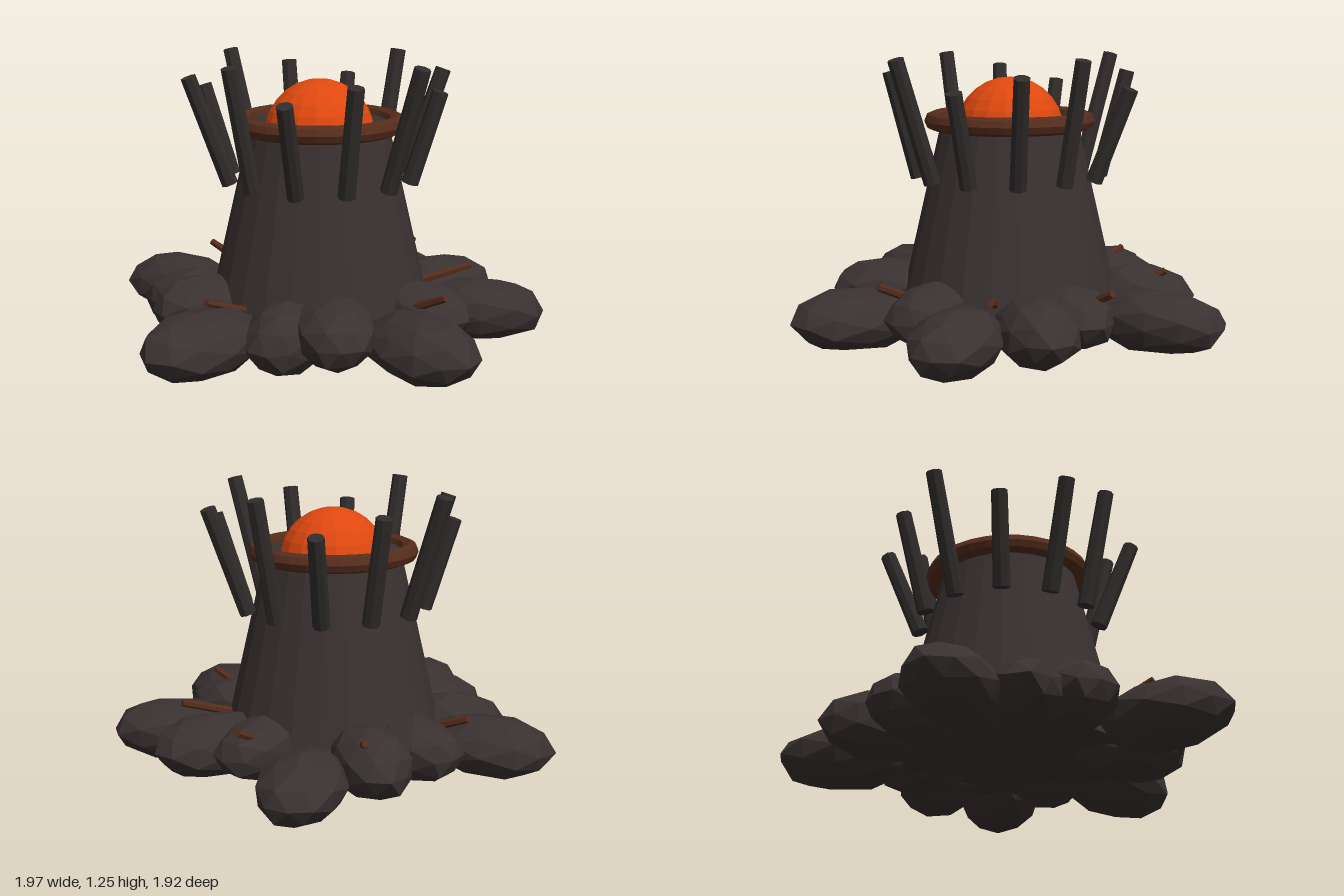
import * as THREE from 'three';

const CZ = 0.04; // the tower's axis sits slightly forward

const paint = (name, color, flatShading = true) => {
  const m = new THREE.MeshStandardMaterial({ color, flatShading });
  m.name = name;
  return m;
};

export function createModel() {
  const group = new THREE.Group();
  const rock = paint('dark rock', 0x3a3131);
  const char = paint('charred wood', 0x312c2c);
  const rust = paint('rust brown', 0x552c1c);
  const ember = paint('ember orange', 0xdf480f);

  const add = (name, geometry, material, x = 0, y = 0, z = 0) => {
    const mesh = new THREE.Mesh(geometry, material);
    mesh.name = name;
    mesh.position.set(x, y, z);
    group.add(mesh);
    return mesh;
  };

  // A round bar between two points
  const up = new THREE.Vector3(0, 1, 0);
  const bar = (name, a, b, rTop, rBottom, sides, material) => {
    const dir = b.clone().sub(a);
    const mid = a.clone().add(b).multiplyScalar(0.5);
    const mesh = add(name, new THREE.CylinderGeometry(rTop, rBottom, dir.length(), sides), material, mid.x, mid.y, mid.z);
    mesh.quaternion.setFromUnitVectors(up, dir.normalize());
  };

  // Tapered tower, rim and glowing dome
  add('tower', new THREE.CylinderGeometry(0.298, 0.5, 0.87, 24), rock, 0, 0.535, CZ);
  const rim = add('rim', new THREE.TorusGeometry(0.335, 0.04, 8, 32), rust, 0, 0.965, CZ);
  rim.rotation.x = Math.PI / 2;
  add('glowingDome', new THREE.SphereGeometry(0.24, 18, 14), ember, 0, 0.915, CZ);

  // Ring of twelve posts leaning outward, in three repeating heights
  const leans = [0.16, 0.12, 0.17, 0.125, 0.17, 0.12];
  const tops = [1.115, 1.18, 1.243];
  for (let i = 0; i < 12; i++) {
    const a = (i * Math.PI) / 6;
    const at = (r, y) => new THREE.Vector3(Math.sin(a) * r, y, CZ + Math.cos(a) * r);
    bar('post', at(0.4, 0.717), at(0.4 + leans[i % 6], tops[i % 3]), 0.035, 0.038, 8, char);
  }

  // Boulders around the foot: angle, outer reach, half length, half width, centre y, half height
  const boulders = [
    [-87, 1.015, 0.3, 0.185, 0.14, 0.135],
    [-57, 0.71, 0.24, 0.165, 0.18, 0.135],
    [-36, 0.86, 0.27, 0.175, 0.165, 0.14],
    [-8, 1.0, 0.29, 0.185, 0.145, 0.135],
    [16, 0.72, 0.24, 0.165, 0.18, 0.14],
    [41, 1.0, 0.29, 0.2, 0.145, 0.135],
    [70, 0.81, 0.26, 0.17, 0.195, 0.14],
    [92, 0.75, 0.25, 0.165, 0.155, 0.15],
    [117, 1.02, 0.29, 0.195, 0.15, 0.14],
    [148, 0.76, 0.25, 0.175, 0.185, 0.14],
    [170, 0.785, 0.25, 0.17, 0.165, 0.135],
    [193, 1.015, 0.29, 0.185, 0.145, 0.135],
    [221, 0.75, 0.24, 0.165, 0.185, 0.14],
    [247, 0.82, 0.26, 0.17, 0.18, 0.145],
  ];
  boulders.forEach(([deg, reach, len, wid, y, high], k) => {
    const a = THREE.MathUtils.degToRad(deg);
    const geo = new THREE.IcosahedronGeometry(1, 1);
    const p = geo.attributes.position;
    const v = new THREE.Vector3();
    for (let i = 0; i < p.count; i++) {
      v.fromBufferAttribute(p, i);
      v.multiplyScalar(1 + 0.035 * Math.sin(5 * v.x + 7 * v.y + 4 * v.z + k * 2.1));
      p.setXYZ(i, v.x, v.y, v.z);
    }
    geo.computeVertexNormals();
    const r = reach - len;
    const stone = add('boulder', geo, rock, Math.cos(a) * r, y, CZ + Math.sin(a) * r);
    stone.scale.set(len, high, wid);
    stone.rotation.y = -a;
  });

  // Twigs poking out between the boulders: inner point, outer point
  const twigs = [
    [0.4, 0.235, -0.08, 0.645, 0.305, -0.18],
    [0.25, 0.24, -0.44, 0.32, 0.31, -0.57],
    [-0.16, 0.22, -0.47, -0.21, 0.305, -0.62],
    [-0.44, 0.24, -0.2, -0.61, 0.31, -0.27],
    [-0.22, 0.23, 0.47, -0.32, 0.31, 0.65],
    [0.45, 0.23, 0.28, 0.61, 0.31, 0.355],
  ];
  for (const [x0, y0, z0, x1, y1, z1] of twigs) {
    bar('twig', new THREE.Vector3(x0, y0, z0), new THREE.Vector3(x1, y1, z1), 0.016, 0.02, 6, rust);
  }

  return group;
}
